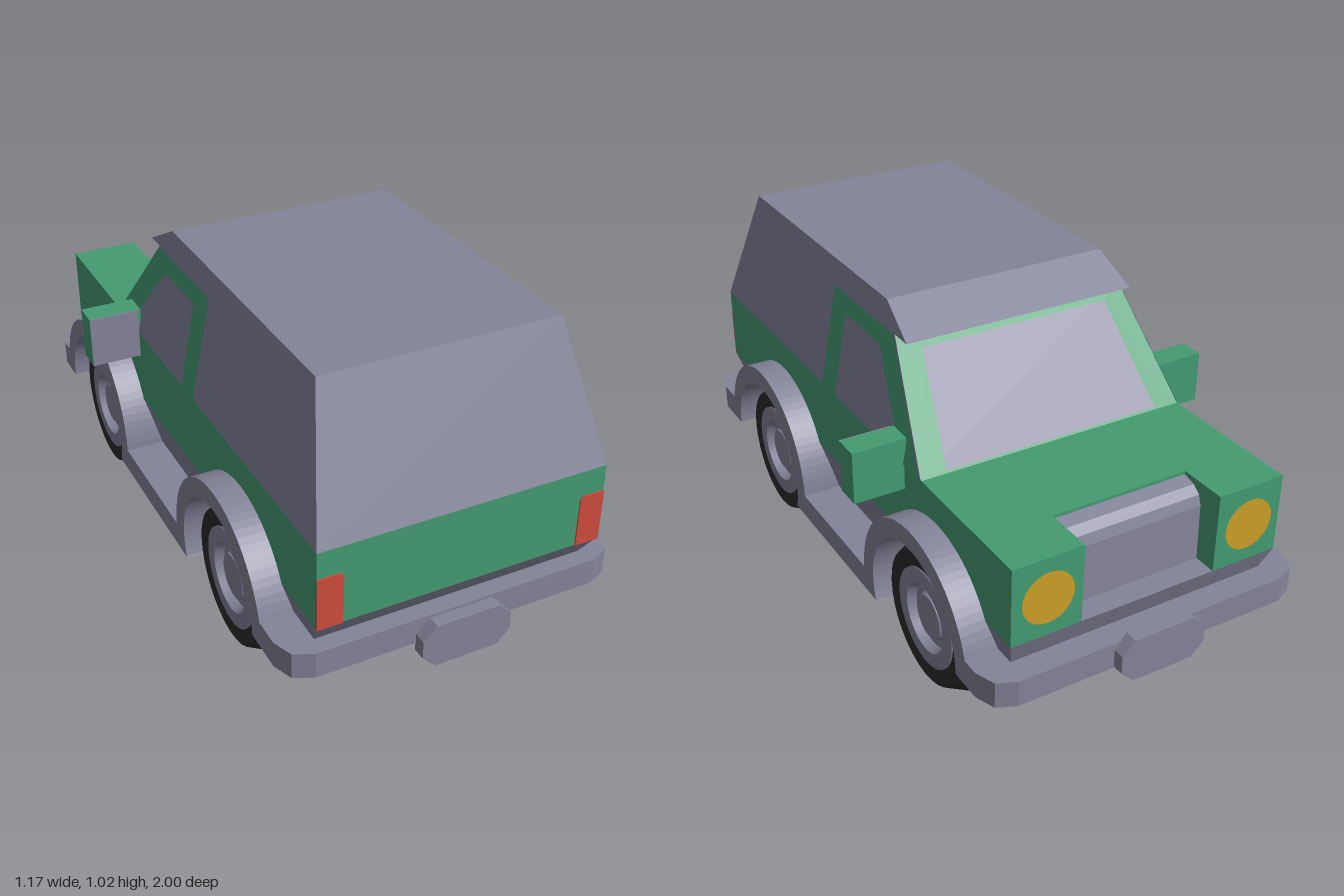
import * as THREE from 'three';

const mat = (name, color, side = THREE.FrontSide) => {
  const m = new THREE.MeshStandardMaterial({ color, side });
  m.name = name;
  return m;
};

export function createModel() {
  const green = mat('green paint', 0x449c72, THREE.DoubleSide);
  const gray = mat('gray trim', 0x84849a, THREE.DoubleSide);
  const black = mat('black rubber', 0x2b2b2d, THREE.DoubleSide);
  const red = mat('red lamp', 0xd04c3e);
  const yellow = mat('yellow lamp', 0xcc9f28);

  const car = new THREE.Group();
  car.name = 'car';
  const add = (name, geo, material) => {
    const m = new THREE.Mesh(geo, material);
    m.name = name;
    car.add(m);
    return m;
  };
  const box = (name, x0, x1, y0, y1, z0, z1, material) => {
    const g = new THREE.BoxGeometry(Math.abs(x1 - x0), y1 - y0, z1 - z0);
    return add(name, g.translate((x0 + x1) / 2, (y0 + y1) / 2, (z0 + z1) / 2), material);
  };
  const poly = (pts) => new THREE.Shape(pts.map(([a, b]) => new THREE.Vector2(a, b)));
  const extrude = (shape, depth) =>
    new THREE.ExtrudeGeometry(shape, { depth, bevelEnabled: false, curveSegments: 20 });
  // side outline in (z, y), extruded across x from x0 to x1
  const sideExtrude = (shape, x0, x1) =>
    extrude(shape, x1 - x0).rotateY(-Math.PI / 2).translate(x1, 0, 0);
  // move every vertex by a rule
  const warp = (geo, rule) => {
    const p = geo.attributes.position, v = new THREE.Vector3();
    for (let i = 0; i < p.count; i++) {
      rule(v.fromBufferAttribute(p, i));
      p.setXYZ(i, v.x, v.y, v.z);
    }
    geo.computeVertexNormals();
    return geo;
  };
  const lean = (v) => { v.x *= 1 - (v.y - 0.63) * 0.447; };

  // body and tapered lower band
  box('body', -0.43, 0.43, 0.39, 0.63, -0.77, 0.96, green);
  const lower = new THREE.BoxGeometry(0.86, 0.15, 1.88).translate(0, 0.315, 0.02);
  add('lowerBody', warp(lower, (v) => {
    if (v.y < 0.3) { v.x *= 0.91; v.z -= Math.sign(v.z) * (v.z > 0 ? 0.1 : 0.06); }
  }), gray);
  box('floor', -0.315, 0.315, 0.16, 0.27, -0.77, 0.735, gray);

  // grille between the headlight blocks
  const grille = poly([[-0.76, 0.39], [-0.85, 0.39], [-0.845, 0.56], [-0.835, 0.59],
    [-0.81, 0.61], [-0.77, 0.62], [-0.76, 0.62]]);
  add('grille', sideExtrude(grille, -0.215, 0.215), gray);

  // cabin with sloped windscreen, tailgate and roof overhang
  const cabin = poly([[0.96, 0.63], [0.8, 1.02], [-0.13, 1.02], [-0.27, 0.945],
    [-0.2, 0.945], [-0.45, 0.63]]);
  add('cabin', warp(sideExtrude(cabin, -0.43, 0.43), lean), gray);

  // windscreen frame
  const screen = poly([[-0.43, 0.63], [0.43, 0.63], [0.37, 0.945], [-0.37, 0.945]]);
  screen.holes.push(poly([[-0.35, 0.635], [-0.305, 0.905], [0.305, 0.905], [0.35, 0.635]]));
  add('windscreenFrame', warp(new THREE.ShapeGeometry(screen), (v) => {
    v.z = -0.455 + (v.y - 0.63) * 0.794;
  }), green);

  // arches and sill as one outline per side
  const wells = [[0.5, 'rear'], [-0.535, 'front']];
  const cy = 0.237;
  const trim = new THREE.Shape();
  trim.moveTo(0.8, cy);
  trim.absarc(0.5, cy, 0.302, 0, Math.PI, false);
  trim.lineTo(-0.233, cy);
  trim.absarc(-0.535, cy, 0.302, 0, Math.PI, false);
  trim.lineTo(-0.78, cy);
  trim.absarc(-0.535, cy, 0.243, Math.PI, -0.32, true);
  trim.lineTo(-0.304, 0.16);
  trim.lineTo(0.27, 0.16);
  trim.absarc(0.5, cy, 0.243, Math.PI + 0.32, 0, true);
  trim.closePath();

  // door frame outline with window opening
  const door = poly([[0.18, 0.63], [0.18, 0.945], [-0.2, 0.945], [-0.45, 0.63]]);
  door.holes.push(poly([[0.09, 0.632], [0.09, 0.89], [-0.13, 0.89], [-0.345, 0.632]]));

  // wheel profiles, turned about the axle
  const lathe = (pts) => new THREE.LatheGeometry(
    pts.map(([r, h]) => new THREE.Vector2(r, h)), 32).rotateZ(-Math.PI / 2);
  const tyre = lathe([[0, -0.137], [0.2, -0.137], [0.2, -0.137], [0.237, -0.06],
    [0.237, 0.06], [0.2, 0.137], [0.2, 0.137], [0.148, 0.13]]);
  const rim = lathe([[0.15, 0.13], [0.15, 0.137], [0.105, 0.137], [0.105, 0.137],
    [0.095, 0.11], [0.095, 0.11], [0.072, 0.11], [0.072, 0.11], [0.066, 0.125],
    [0.066, 0.125], [0, 0.125]]);

  for (const s of [1, -1]) {
    const n = s > 0 ? 'left' : 'right';
    add(n + 'ArchesAndSill', sideExtrude(trim, s > 0 ? 0.3 : -0.51, s > 0 ? 0.51 : -0.3), gray);

    const frame = new THREE.ShapeGeometry(door).rotateY(-Math.PI / 2);
    frame.translate(s * 0.434, 0, 0);
    add(n + 'DoorFrame', warp(frame, lean), green);

    for (const [z, end] of wells) {
      const wheel = new THREE.Group();
      wheel.name = n + end + 'Wheel';
      const t = new THREE.Mesh(tyre, black), r = new THREE.Mesh(rim, gray);
      t.name = 'tyre';
      r.name = 'rim';
      wheel.add(t, r);
      wheel.position.set(s * 0.335, cy, z);
      wheel.rotation.y = s > 0 ? 0 : Math.PI;
      car.add(wheel);
    }

    // headlight block and lamp
    box(n + 'HeadlightBlock', s * 0.215, s * 0.43, 0.39, 0.63, -0.92, -0.77, green);
    add(n + 'Headlight', new THREE.CircleGeometry(0.079, 24).rotateY(Math.PI)
      .translate(s * 0.322, 0.51, -0.924), yellow);

    // tail lamp with clipped inner top corner
    const lamp = poly([[0.355, 0.39], [0.43, 0.39], [0.43, 0.55], [0.365, 0.55], [0.355, 0.54]]
      .map(([x, y]) => [s * x, y]));
    add(n + 'TailLamp', extrude(lamp, 0.005).translate(0, 0, 0.959), red);

    // mirror with gray glass facing the rear
    box(n + 'Mirror', s * 0.42, s * 0.585, 0.55, 0.71, -0.355, -0.277, green);
    box(n + 'MirrorGlass', s * 0.43, s * 0.585, 0.55, 0.71, -0.277, -0.273, gray);
  }

  // bumpers with clipped corners, each with an octagonal plate
  const bumper = (name, dir, end, inner, plateY) => {
    const outline = poly([[-0.51, inner], [0.51, inner], [0.51, end - 0.085], [0.487, end - 0.025],
      [0.43, end], [-0.43, end], [-0.487, end - 0.025], [-0.51, end - 0.085]]
      .map(([x, z]) => [x, -dir * z]));
    add(name + 'Bumper', extrude(outline, 0.08).rotateX(-Math.PI / 2).translate(0, 0.235, 0), gray);
    const w = 0.136, h = 0.067, c = 0.04;
    const plate = poly([[-w, -h + c], [-w + c, -h], [w - c, -h], [w, -h + c],
      [w, h - c], [w - c, h], [-w + c, h], [-w, h - c]]);
    add(name + 'Plate', extrude(plate, 0.04).translate(0, plateY, dir > 0 ? 0.96 : -1), gray);
  };
  bumper('rear', 1, 0.962, 0.75, 0.238);
  bumper('front', -1, 0.965, 0.785, 0.266);

  return car;
}
